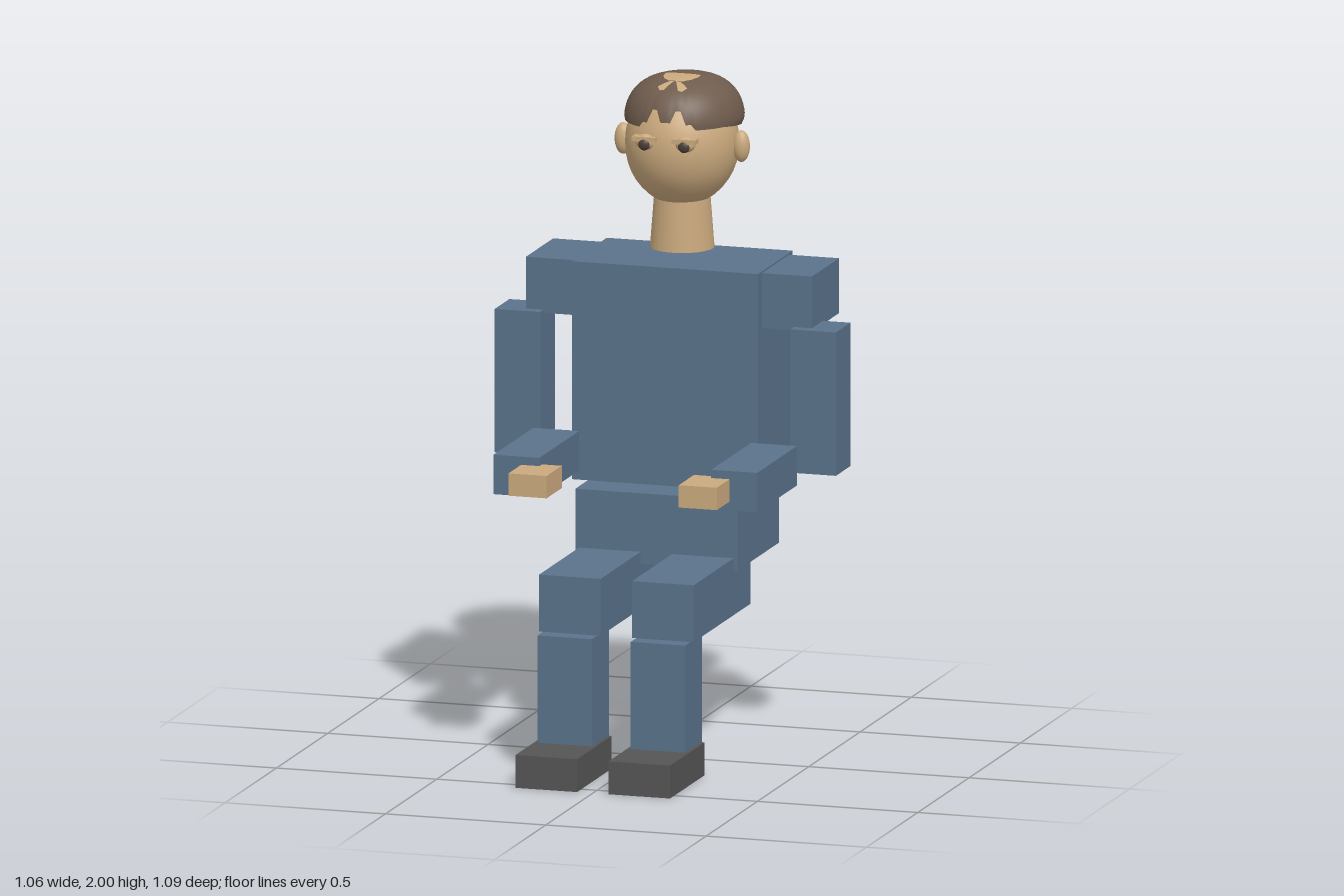
import * as THREE from 'three';
import { mergeVertices } from 'three/addons/utils/BufferGeometryUtils.js';

const material = (name, color, side = THREE.FrontSide) => {
  const m = new THREE.MeshStandardMaterial({ color, side });
  m.name = name;
  return m;
};

// Grid surface: u runs to the right, v runs up, seen from outside
function grid(nu, nv, point) {
  const pos = [], index = [];
  for (let j = 0; j <= nv; j++)
    for (let i = 0; i <= nu; i++) pos.push(...point(i / nu, j / nv));
  for (let j = 0; j < nv; j++)
    for (let i = 0; i < nu; i++) {
      const a = j * (nu + 1) + i, b = a + nu + 1;
      index.push(a, a + 1, b + 1, a, b + 1, b);
    }
  let g = new THREE.BufferGeometry();
  g.setAttribute('position', new THREE.Float32BufferAttribute(pos, 3));
  g.setIndex(index);
  g = mergeVertices(g, 1e-5);
  g.computeVertexNormals();
  return g;
}

// Hair dome: s is the relative distance from the crown axis
const HAIR = { rx: 0.178, rz: 0.192, z: -0.352, rim: 1.87, h: 0.13 };
const domeY = (x, z) => {
  const s = Math.min(1, Math.hypot(x / HAIR.rx, (z - HAIR.z) / HAIR.rz));
  return HAIR.rim + HAIR.h * Math.sqrt(1 - s ** 3);
};
const domeS = (y) => y < HAIR.rim
  ? 1 - 2.5 * (HAIR.rim - y)
  : Math.cbrt(Math.max(0, 1 - ((y - HAIR.rim) / HAIR.h) ** 2));

// Height of the hairline by angle from the front: two notches, then falling to the nape
function hairline(deg) {
  if (deg < 6) return 1.89;
  if (deg < 19) return 1.925;
  if (deg < 26) return 1.885;
  if (deg < 60) return 1.868;
  return 1.868 - 0.045 * (deg - 60) / 120;
}

export function createModel() {
  const model = new THREE.Group();
  model.name = 'seatedFigure';
  const suit = material('suit', 0x5a728b);
  const skin = material('skin', 0xcaa97d);
  const shoe = material('shoe', 0x555555);
  const hair = material('hair', 0x6f5c4d, THREE.DoubleSide);
  const dark = material('iris', 0x4b3f37);

  const add = (name, geometry, mat, x = 0, y = 0, z = 0) => {
    const mesh = new THREE.Mesh(geometry, mat);
    mesh.name = name;
    mesh.position.set(x, y, z);
    model.add(mesh);
    return mesh;
  };
  // Box given by its limits on each axis
  const box = (name, mat, [x0, x1], [y0, y1], [z0, z1]) =>
    add(name, new THREE.BoxGeometry(x1 - x0, y1 - y0, z1 - z0), mat,
      (x0 + x1) / 2, (y0 + y1) / 2, (z0 + z1) / 2);
  const ellipsoid = (name, mat, rx, ry, rz, x, y, z) =>
    add(name, new THREE.SphereGeometry(1, 28, 20).scale(rx, ry, rz), mat, x, y, z);

  // Body
  box('torso', suit, [-0.29, 0.29], [0.787, 1.45], [-0.5, -0.162]);
  box('pelvis', suit, [-0.253, 0.253], [0.563, 0.778], [-0.482, -0.078]);

  // Limbs, left and right
  const limbs = [
    ['Shoulder', suit, [0.29, 0.446], [1.278, 1.445], [-0.465, -0.2]],
    ['UpperArm', suit, [0.39, 0.532], [0.852, 1.288], [-0.307, -0.165]],
    ['Forearm', suit, [0.268, 0.411], [0.815, 0.935], [-0.163, 0.225]],
    ['Hand', skin, [0.206, 0.325], [0.842, 0.91], [0.2, 0.348]],
    ['Thigh', suit, [0.049, 0.241], [0.427, 0.6], [-0.242, 0.312]],
    ['Shin', suit, [0.06, 0.23], [0.012, 0.426], [0.196, 0.36]],
    ['Foot', shoe, [0.049, 0.241], [0, 0.1], [0.206, 0.542]],
  ];
  for (const [side, s] of [['left', 1], ['right', -1]]) {
    for (const [part, mat, x, y, z] of limbs)
      box(side + part, mat, s > 0 ? x : [-x[1], -x[0]], y, z);

    // Ear and hooded eye
    ellipsoid(side + 'Ear', skin, 0.026, 0.048, 0.025, s * 0.184, 1.797, -0.33);
    box(side + 'Eyelid', skin, [s * 0.062 - 0.037, s * 0.062 + 0.037],
      [1.832, 1.846], [-0.18, -0.146]);
    ellipsoid(side + 'Eye', skin, 0.031, 0.024, 0.02, s * 0.062, 1.828, -0.166);
    ellipsoid(side + 'Iris', dark, 0.018, 0.018, 0.012, s * 0.062, 1.823, -0.152);
  }

  // Neck and head
  add('neck', new THREE.CylinderGeometry(0.083, 0.096, 0.17, 24), skin, 0, 1.565, -0.33);
  ellipsoid('head', skin, 0.17, 0.19, 0.178, 0, 1.798, -0.33);

  // Hair cap with a notched hairline
  add('hair', grid(72, 16, (u, v) => {
    const deg = Math.abs(u * 360 - 180), a = u * 2 * Math.PI - Math.PI;
    const y0 = hairline(deg);
    const y = y0 + (2 - y0) * Math.sin(v * Math.PI / 2);
    const s = v === 1 ? 0 : domeS(y);
    return [Math.sin(a) * HAIR.rx * s, y, HAIR.z + Math.cos(a) * HAIR.rz * s];
  }), hair);

  // Bare patches laid over the dome, as rows of [z, x0, x1] from front to back
  const patch = (name, rows) => add(name, grid(10, 16, (u, v) => {
    const t = v * (rows.length - 1), i = Math.min(Math.floor(t), rows.length - 2);
    const [z, x0, x1] = rows[i].map((a, k) => a + (rows[i + 1][k] - a) * (t - i));
    const x = x0 + (x1 - x0) * u;
    return [x, domeY(x, z) + 0.003, z];
  }), skin);
  patch('crownPatch', [[-0.265, -0.022, 0.022], [-0.285, -0.042, 0.042],
    [-0.315, -0.054, 0.054], [-0.345, -0.054, 0.054]]);
  patch('leftFrontPatch', [[-0.218, 0.022, 0.035], [-0.235, 0.014, 0.046], [-0.263, 0.002, 0.014]]);
  patch('rightFrontPatch', [[-0.218, -0.035, -0.022], [-0.235, -0.046, -0.014], [-0.263, -0.014, -0.002]]);

  return model;
}
